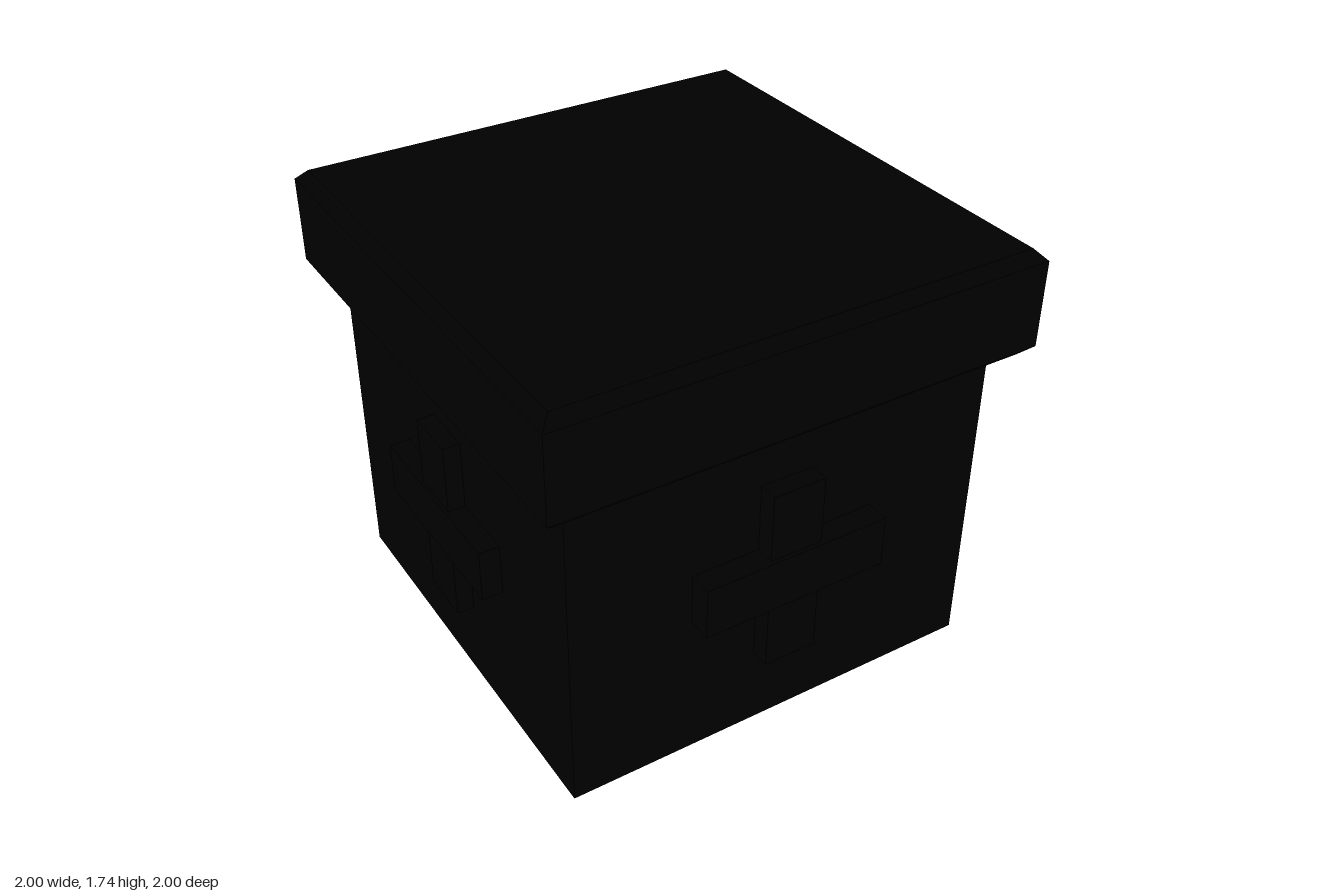
import * as THREE from 'three';

const black = new THREE.MeshStandardMaterial({ color: 0x000000 });
black.name = 'black';

function addBox(parent, name, w, h, d, x, y, z) {
  const mesh = new THREE.Mesh(new THREE.BoxGeometry(w, h, d), black);
  mesh.name = name;
  mesh.position.set(x, y, z);
  parent.add(mesh);
  return mesh;
}

// Box whose top and bottom rims are chamfered, with sharp vertical corners
function chamferedSlab(half, bottom, top, chamfer) {
  const profile = [
    [0, bottom], [half - chamfer, bottom], [half, bottom + chamfer],
    [half, top - chamfer], [half - chamfer, top], [0, top],
  ].map(([r, y]) => new THREE.Vector2(r * Math.SQRT2, y));
  const geometry = new THREE.LatheGeometry(profile, 4, Math.PI / 4).toNonIndexed();
  geometry.computeVertexNormals();
  return geometry;
}

export function createModel() {
  const model = new THREE.Group();
  model.name = 'crate';

  // The whole crate sits slightly turned
  const crate = new THREE.Group();
  crate.name = 'turnedCrate';
  crate.rotation.y = -0.0204;
  model.add(crate);

  // Body
  addBox(crate, 'body', 1.734, 1.32, 1.734, 0, 0.66, 0);

  // Lid with bevelled rims
  const lid = new THREE.Mesh(chamferedSlab(0.98, 1.31, 1.735, 0.042), black);
  lid.name = 'lid';
  crate.add(lid);

  // Raised cross on each side: [name, turn, upright reach, crossbar reach]
  const sides = [
    ['front', 0, 0.943, 0.961],
    ['left', Math.PI / 2, 0.949, 0.967],
    ['back', Math.PI, 0.928, 0.943],
    ['right', -Math.PI / 2, 0.934, 0.947],
  ];
  for (const [name, turn, upright, bar] of sides) {
    const cross = new THREE.Group();
    cross.name = name + 'Cross';
    cross.rotation.y = turn;
    addBox(cross, 'upright', 0.215, 0.76, 0.12, 0, 0.71, upright - 0.06);
    addBox(cross, 'crossbar', 0.76, 0.21, 0.12, 0, 0.71, bar - 0.06);
    crate.add(cross);
  }
  return model;
}
